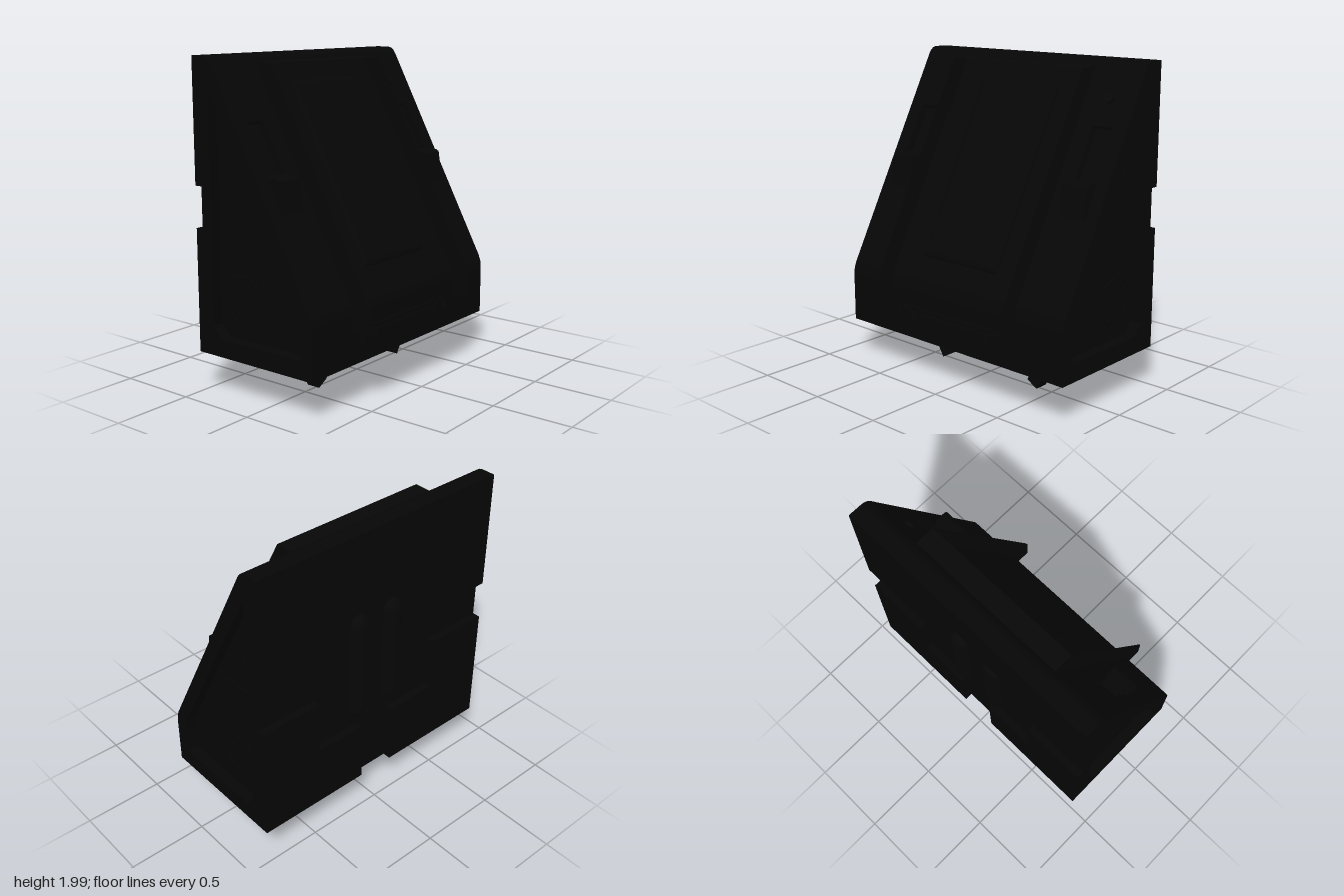
import * as THREE from 'three';

const shell = new THREE.MeshStandardMaterial({ color: 0x060606, side: THREE.DoubleSide });
shell.name = 'black shell';
const trim = new THREE.MeshStandardMaterial({ color: 0x070707 });
trim.name = 'dark trim';

const shapeOf = (pts) => new THREE.Shape(pts.map(([x, y]) => new THREE.Vector2(x, y)));
const pathOf = (pts) => new THREE.Path(pts.map(([x, y]) => new THREE.Vector2(x, y)));

export function createModel() {
  const root = new THREE.Group();
  const add = (name, geo, mat = shell, x = 0, y = 0, z = 0, parent = root) => {
    const m = new THREE.Mesh(geo, mat);
    m.name = name;
    m.position.set(x, y, z);
    parent.add(m);
    return m;
  };
  const box = (name, w, h, d, x, y, z, mat = shell, parent = root) =>
    add(name, new THREE.BoxGeometry(w, h, d), mat, x, y, z, parent);

  // Profiles are given as (z, y) and run across x
  const sideShape = (pts) => shapeOf(pts.map(([z, y]) => [-z, y]));
  const across = (pts, x0, x1, hole) => {
    const s = sideShape(pts);
    if (hole) s.holes.push(pathOf(hole.map(([z, y]) => [-z, y])));
    const g = new THREE.ExtrudeGeometry(s, { depth: x1 - x0, bevelEnabled: false });
    return g.rotateY(Math.PI / 2).translate(x0, 0, 0);
  };

  // Wedge body in slices; two slices carry a slot in the slope for the latches
  const profile = (bottom, slot = []) => [
    [-0.45, bottom], [0.37, bottom], [0.37, 0.56], [0.365, 0.6], [0.35, 0.64], ...slot, [-0.35, 1.95],
    [-0.365, 1.972], [-0.385, 1.987], [-0.41, 1.993], [-0.45, 1.993],
  ];
  const slot = [[-0.01, 1.314], [-0.055, 1.29], [-0.22, 1.605], [-0.177, 1.626]];
  add('body', across(profile(0.45), -0.63, 0.63));
  for (const s of [-1, 1]) {
    const slice = (name, a, b, pts, hole) =>
      add(name, across(pts, Math.min(a * s, b * s), Math.max(a * s, b * s), hole));
    slice('slottedBody', 0.63, 0.765, profile(0.45, slot));
    slice('outerBody', 0.765, 0.8, profile(0.45));
    // Raised rim around each side
    slice('sideRim', 0.8, 0.87, profile(0.25), [
      [-0.38, 0.43], [-0.38, 1.82], [0.265, 0.63], [0.285, 0.54], [0.285, 0.36], [-0.32, 0.36],
    ]);
  }

  // Base slab with an eight-sided well underneath
  const slab = shapeOf([[-0.8, -0.37], [0.8, -0.37], [0.8, 0.45], [-0.8, 0.45]]);
  const well = [];
  for (let i = 0; i < 8; i++) {
    const t = (i + 0.5) * Math.PI / 4;
    well.push([Math.cos(t) * 0.42, 0.05 + Math.sin(t) * 0.4]);
  }
  slab.holes.push(pathOf(well));
  add('baseSlab', new THREE.ExtrudeGeometry(slab, { depth: 0.2, bevelEnabled: false })
    .rotateX(-Math.PI / 2), shell, 0, 0.25, 0);

  // Back plates, leaving a square recess with four channels
  const backPlate = (pts) => add('backPlate',
    new THREE.ExtrudeGeometry(shapeOf(pts), { depth: 0.05, bevelEnabled: false }), shell, 0, 0, -0.5);
  backPlate([[-0.87, 1.993], [-0.87, 1.25], [-0.46, 1.25], [-0.46, 1.58], [-0.12, 1.58], [-0.12, 1.9],
    [0.12, 1.9], [0.12, 1.58], [0.46, 1.58], [0.46, 1.25], [0.87, 1.25], [0.87, 1.993]]);
  for (const s of [-1, 1]) {
    backPlate([[0.87, 1], [0.46, 1], [0.46, 0.65], [0.12, 0.65], [0.12, 0.25], [0.87, 0.25]]
      .map(([x, y]) => [x * s, y]));
    const rib = add('backRib', new THREE.CapsuleGeometry(0.07, 0.58, 6, 16), trim, s * 0.13, 1.08, -0.45);
    rib.scale.z = 0.71;
  }

  // Open hood standing off the slope, with thin walls
  const hood = [
    [0.37, 0.45], [0.5, 0.45], [0.5, 0.57], [0.497, 0.595], [0.485, 0.625], [-0.225, 1.945], [-0.35, 1.945],
    [0.35, 0.64], [0.37, 0.56],
  ];
  for (const x of [-0.515, 0.515]) {
    add('hoodWall', new THREE.ShapeGeometry(sideShape(hood)).rotateY(Math.PI / 2), shell, x);
  }
  add('hoodTop', new THREE.PlaneGeometry(1.03, 0.125).rotateX(-Math.PI / 2), trim, 0, 1.945, -0.2875);
  add('hoodUnderside', new THREE.PlaneGeometry(1.03, 0.13).rotateX(Math.PI / 2), trim, 0, 0.45, 0.435);

  // Parts that lie on the sloping front
  const slope = new THREE.Group();
  slope.name = 'slopeParts';
  slope.position.set(0, 0.6, 0.37);
  slope.rotation.x = -0.49;
  root.add(slope);
  const raised = shapeOf([[-0.25, 0.24], [0.25, 0.24], [0.25, 1.34], [-0.25, 1.34]]);
  add('raisedPanel', new THREE.ExtrudeGeometry(raised, {
    depth: 0.005, bevelThickness: 0.025, bevelSize: 0.05, bevelSegments: 4,
  }), shell, 0, 0, 0, slope);
  add('button', new THREE.CylinderGeometry(0.03, 0.03, 0.04, 16).rotateX(Math.PI / 2),
    trim, 0.69, 1.335, 0, slope);

  // Latch holders at the foot of each slot
  const holder = [[-0.07, 1.335], [0.055, 1.332], [0.075, 1.32], [0.08, 1.29], [0.095, 1.13], [0.03, 1.13]];
  for (const x of [-0.7, 0.7]) add('latchHolder', across(holder, x - 0.085, x + 0.085));

  // Hinge bar and feet below the hood
  box('hingeBar', 0.84, 0.012, 0.02, 0, 0.456, 0.364, trim);
  box('hingeRod', 0.6, 0.012, 0.02, 0, 0.42, 0.364, trim);
  for (const s of [-1, 1]) {
    box('hingeFoot', 0.035, 0.05, 0.04, s * 0.305, 0.4, 0.36, trim);
    box('hingeFoot', 0.02, 0.05, 0.04, s * 0.42, 0.4, 0.36, trim);
    const arm = box('hingeArm', 0.1, 0.012, 0.02, s * 0.36, 0.435, 0.364, trim);
    arm.rotation.z = s * 0.33;
  }

  // Fittings inside the side recesses: z, y, radius
  const studs = [[-0.3, 1.49, 0.02], [-0.27, 1.33, 0.04], [-0.08, 0.75, 0.03], [-0.33, 0.77, 0.02],
    [0.14, 0.48, 0.03], [-0.17, 0.48, 0.03]];
  for (const s of [-1, 1]) {
    box('sideBox', 0.02, 0.26, 0.27, s * 0.8, 1.01, -0.235);
    for (const [z, y, r] of studs) {
      add('sideStud', new THREE.CylinderGeometry(r, r, 0.02, 16).rotateZ(Math.PI / 2), shell, s * 0.8, y, z);
    }
    add('sideRing', new THREE.TorusGeometry(0.14, 0.008, 6, 24).rotateY(Math.PI / 2), shell, s * 0.8, 0.6, -0.2);
    // Loose tilted knobs beneath the base
    const knob = box('knob', 0.085, 0.085, 0.09, s * 0.385, 0.06, -0.02, trim);
    knob.rotation.z = -s * Math.PI / 6;
  }
  return root;
}
